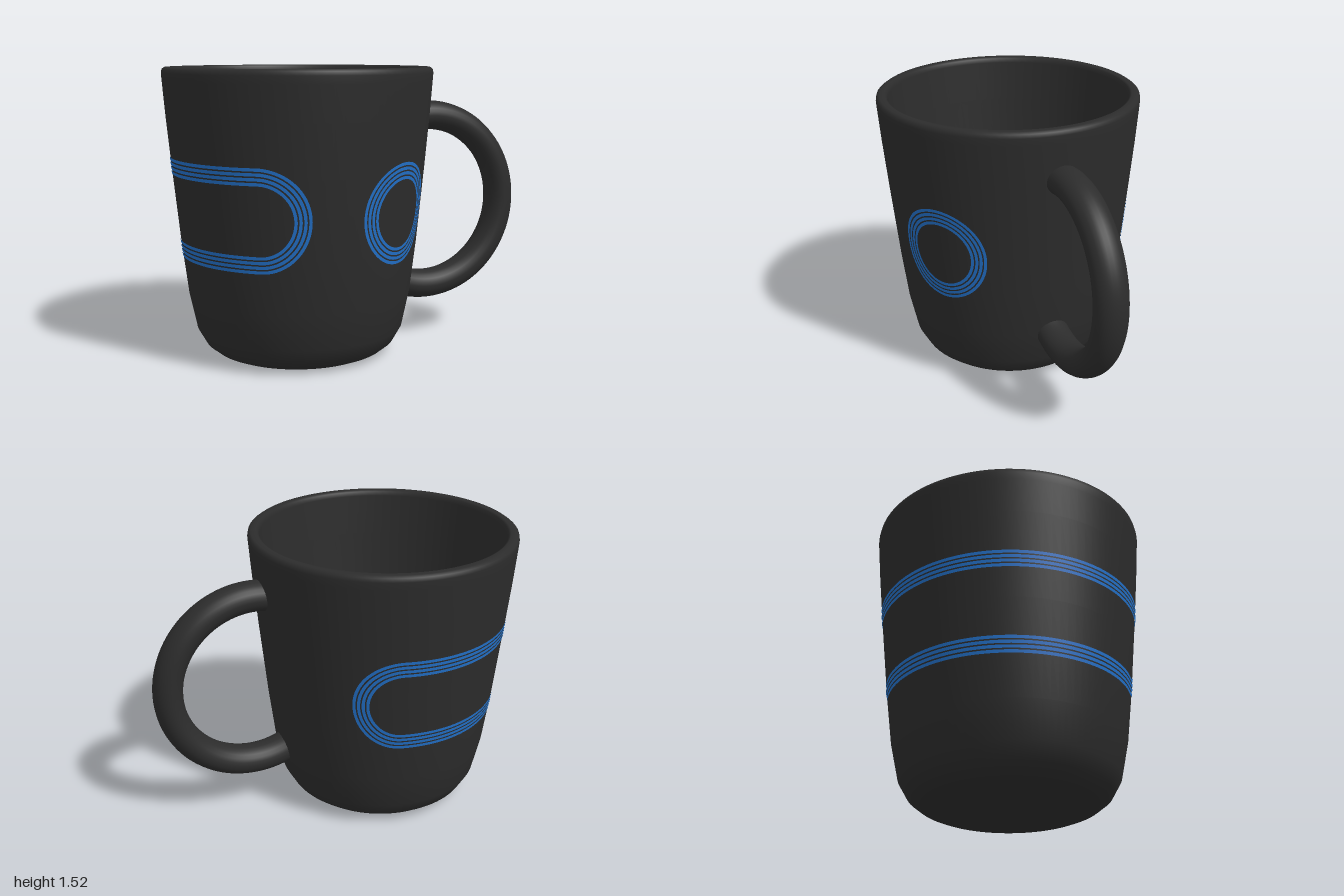
import * as THREE from 'three';

const CX = -0.29; // axis of the cup
const OUTER = [[0.40, 0], [0.42, 0.003], [0.46, 0.02], [0.51, 0.06], [0.555, 0.14], [0.595, 0.33], [0.628, 0.6],
  [0.65, 0.82], [0.668, 1.0], [0.693, 1.27], [0.707, 1.45], [0.71, 1.49], [0.706, 1.51], [0.692, 1.52]];
const INNER = [[0.664, 1.52], [0.653, 1.513], [0.648, 1.49], [0.632, 1.27], [0.607, 1.0], [0.57, 0.6], [0.54, 0.33],
  [0.505, 0.19], [0.46, 0.115], [0.40, 0.08], [0.35, 0.07], [0.3, 0.07], [0, 0.07]];

// Radius of the outer wall at height y
function wallRadius(y) {
  for (let i = 1; i < OUTER.length; i++) {
    const [r0, y0] = OUTER[i - 1], [r1, y1] = OUTER[i];
    if (y <= y1) return r0 + (r1 - r0) * (y - y0) / (y1 - y0);
  }
  return 0.69;
}

// Closed rounded outline wrapped on the wall; half = half length of the straight runs
function wrappedLine(centreAngle, half, rIn, rOut) {
  const path = [];
  const arcSteps = 40, runSteps = half > 0 ? 80 : 0;
  for (const side of [1, -1]) {
    const start = side > 0 ? -Math.PI / 2 : Math.PI / 2;
    for (let i = 0; i < arcSteps; i++) path.push([side * half, start + Math.PI * i / arcSteps]);
    for (let i = 0; i < runSteps; i++) path.push([side * half * (1 - 2 * i / runSteps), start + Math.PI]);
  }
  const pos = [], index = [], n = path.length;
  path.forEach(([u0, a], i) => {
    for (const r of [rIn, rOut]) {
      const theta = centreAngle + (u0 + r * Math.cos(a)) / 0.65;
      const y = 0.8 + r * Math.sin(a);
      const R = wallRadius(y) + 0.003;
      pos.push(R * Math.sin(theta), y, R * Math.cos(theta));
    }
    const p = 2 * i, q = 2 * ((i + 1) % n);
    index.push(p, p + 1, q + 1, p, q + 1, q);
  });
  const g = new THREE.BufferGeometry();
  g.setAttribute('position', new THREE.Float32BufferAttribute(pos, 3));
  g.setIndex(index);
  g.computeVertexNormals();
  return g;
}

export function createModel() {
  const model = new THREE.Group();
  model.name = 'mug';
  const charcoal = new THREE.MeshStandardMaterial({ color: 0x2c2c2c });
  charcoal.name = 'charcoal';
  const blue = new THREE.MeshStandardMaterial({ color: 0x2270c8 });
  blue.name = 'blue';

  // Cup: one turned profile, outside and inside
  const profile = [[0, 0], [0.37, 0], ...OUTER, ...INNER].map(([r, y]) => new THREE.Vector2(r, y));
  const cup = new THREE.Mesh(new THREE.LatheGeometry(profile, 96), charcoal);
  cup.name = 'cup';
  cup.position.x = CX;
  model.add(cup);

  // Handle: slightly oval ring section whose capped ends pass through the wall
  const R = 0.48, tube = 0.08, end = THREE.MathUtils.degToRad(113);
  const handle = new THREE.Group();
  handle.name = 'handle';
  const ring = new THREE.Mesh(new THREE.TorusGeometry(R, tube, 24, 72, 2 * end), charcoal);
  ring.name = 'handleRing';
  ring.rotation.z = -end;
  handle.add(ring);
  for (const s of [1, -1]) {
    const cap = new THREE.Mesh(new THREE.CircleGeometry(tube, 24), charcoal);
    cap.name = s > 0 ? 'handleUpperEnd' : 'handleLowerEnd';
    cap.position.set(R * Math.cos(end), s * R * Math.sin(end), 0);
    cap.lookAt(cap.position.x - Math.sin(end), cap.position.y + s * Math.cos(end), 0);
    handle.add(cap);
  }
  handle.position.set(0.455, 0.77, 0);
  handle.scale.set(0.97, 1, 1.125);
  model.add(handle);

  // Painted outlines: a round one at the front and a long one around the far side
  const outlines = [['roundOutline', 33.8, 0], ['longOutline', -115.2, 0.907]];
  for (const [name, degrees, half] of outlines) {
    const group = new THREE.Group();
    group.name = name;
    group.position.x = CX;
    for (let i = 0; i < 4; i++) {
      const rOut = 0.26 - i * 0.0235;
      const line = new THREE.Mesh(wrappedLine(THREE.MathUtils.degToRad(degrees), half, rOut - 0.016, rOut), blue);
      line.name = name + 'Line' + (i + 1);
      group.add(line);
    }
    model.add(group);
  }
  return model;
}
